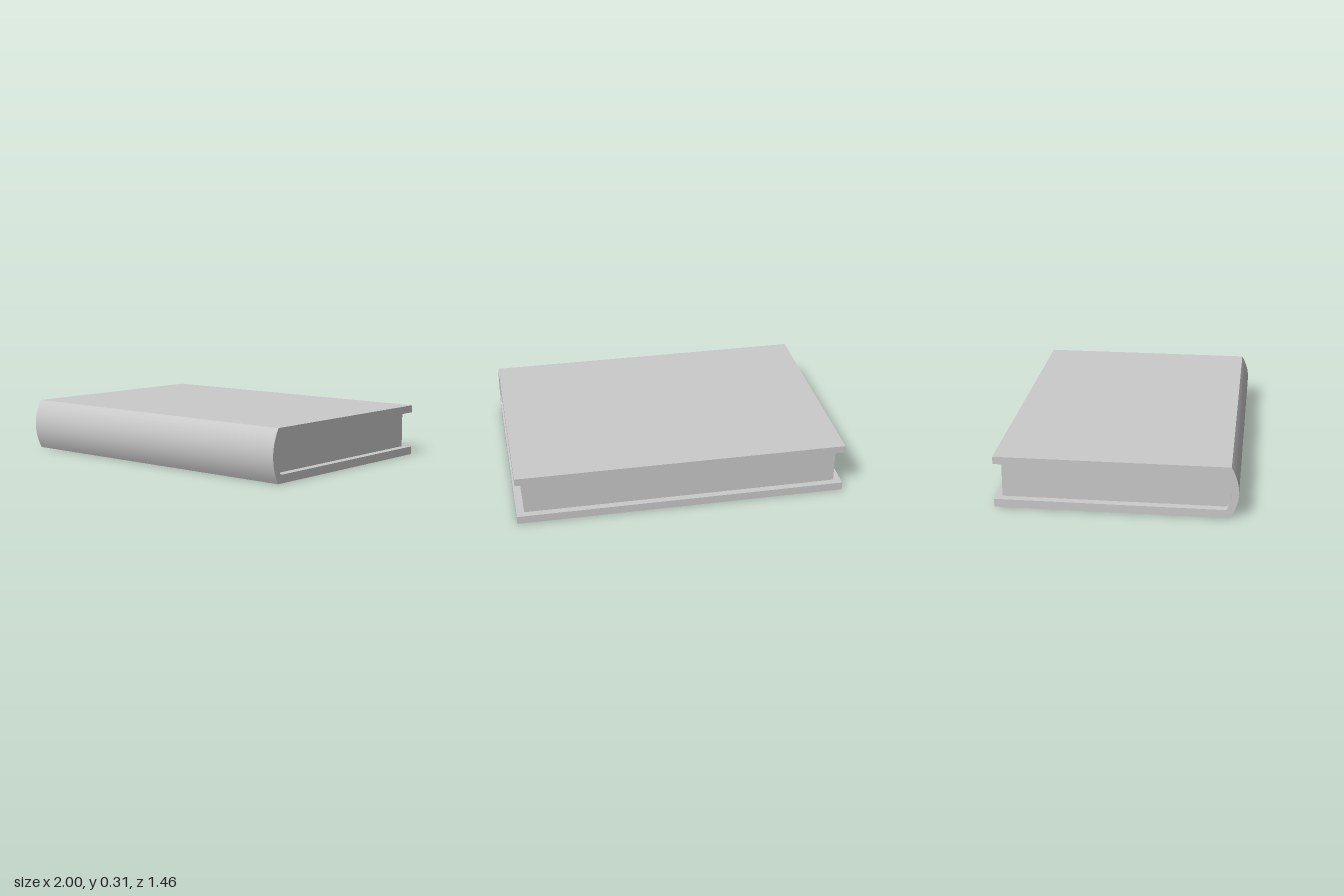
import * as THREE from 'three';
import { toCreasedNormals } from 'three/addons/utils/BufferGeometryUtils.js';

const LENGTH = 1.942, HEIGHT = 0.305, BACK = -0.686;
const INNER_LOW = 0.048, INNER_HIGH = 0.261, MID = HEIGHT / 2;
const material = new THREE.MeshStandardMaterial({ color: 0xcccccc, side: THREE.DoubleSide });

// Extrudes a (z, y) profile along x, centred on x = 0
function extrudeAlongX(name, shape, length) {
  const geometry = new THREE.ExtrudeGeometry(shape, { depth: length, bevelEnabled: false, curveSegments: 16 });
  geometry.translate(0, 0, -length / 2);
  geometry.rotateY(-Math.PI / 2);
  const mesh = new THREE.Mesh(toCreasedNormals(geometry, 0.5), material);
  mesh.name = name;
  return mesh;
}

// Rounded hollow of the spine, from top to bottom, with softened corners
function traceHollow(shape, gap) {
  const top = INNER_HIGH - gap, low = INNER_LOW + gap, tip = 0.648 - gap;
  shape.lineTo(0.608 - gap, top);
  shape.quadraticCurveTo(0.622 - gap, top, 0.628 - gap, top - 0.014);
  shape.quadraticCurveTo(2 * tip - 0.628 + gap, MID, 0.628 - gap, low + 0.014);
  shape.quadraticCurveTo(0.622 - gap, low, 0.608 - gap, low);
}

export function createModel() {
  const book = new THREE.Group();
  book.name = 'book';

  // Both boards and the bowed spine as one C-shaped section
  const cover = new THREE.Shape();
  cover.moveTo(BACK, 0);
  cover.lineTo(0.642, 0);
  cover.quadraticCurveTo(0.73, MID, 0.642, HEIGHT);
  cover.lineTo(BACK, HEIGHT);
  cover.lineTo(BACK, INNER_HIGH);
  traceHollow(cover, 0);
  cover.lineTo(BACK, INNER_LOW);
  book.add(extrudeAlongX('cover', cover, LENGTH));

  // Page block, set back from the board edges
  const pages = new THREE.Shape();
  const gap = 0.001, pagesBack = -0.647;
  pages.moveTo(pagesBack, INNER_LOW + gap);
  pages.lineTo(pagesBack, INNER_HIGH - gap);
  traceHollow(pages, gap);
  book.add(extrudeAlongX('pages', pages, LENGTH - 0.09));

  // The book lies slightly turned
  book.rotation.y = -0.0437;
  const model = new THREE.Group();
  model.name = 'model';
  model.add(book);
  return model;
}
